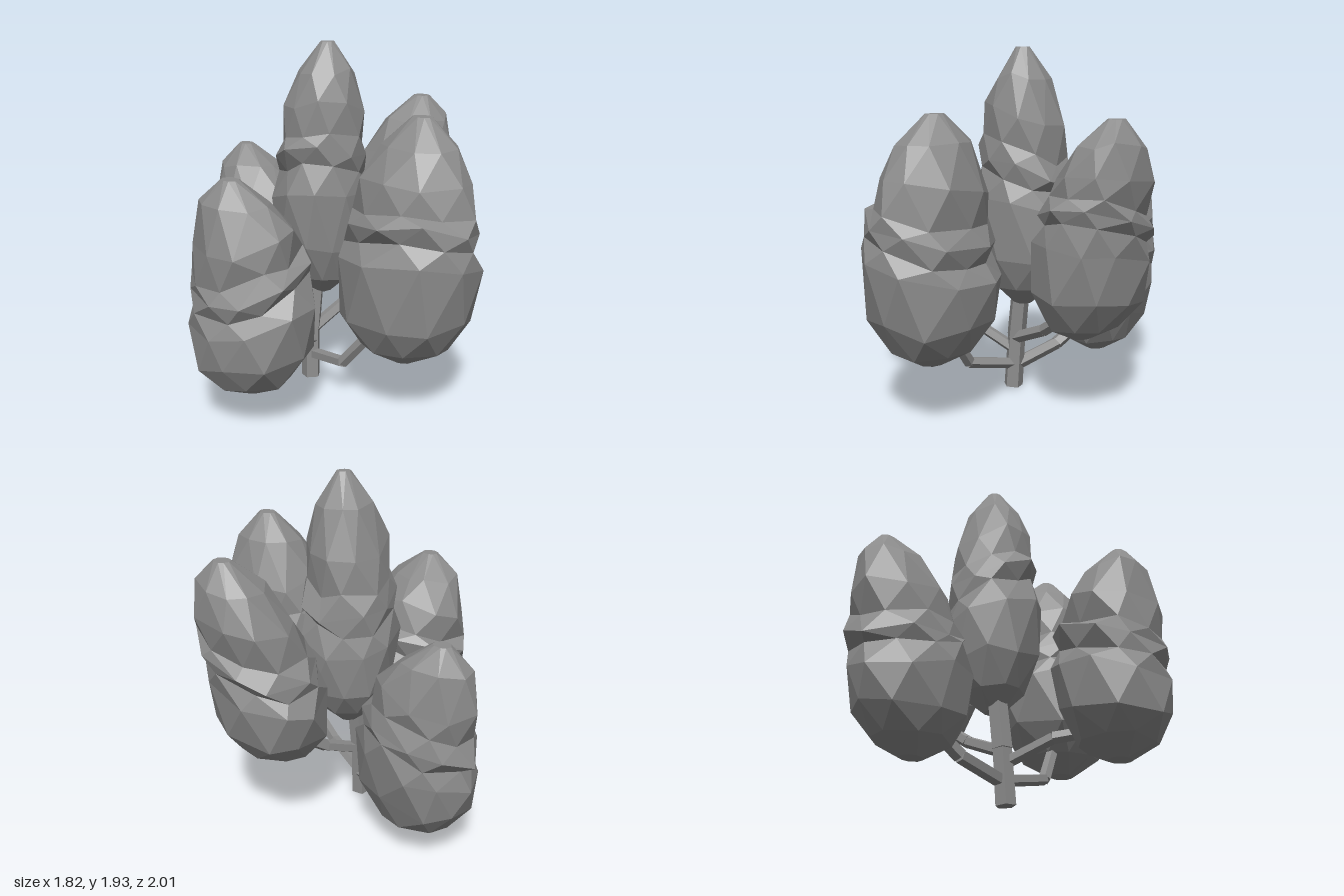
import * as THREE from 'three';

const material = new THREE.MeshStandardMaterial({ color: 0x8c8c8c, flatShading: true });
const SIDES = 9;

// Shared clump outline: [fraction of height, fraction of full width, fold depth]
const profile = [
  [0, 0.2, 0], [0.07, 0.66, 0], [0.2, 0.97, 0], [0.4, 1.05, 0],
  [0.49, 1.0, 0.14], [0.55, 1.01, 0], [0.62, 0.94, 0.13], [0.74, 0.84, 0], [0.89, 0.58, 0], [1, 0.15, 0],
];

// Small repeatable number generator, -1..1
function seeded(seed) {
  let s = seed;
  return () => {
    s = (s * 16807) % 2147483647;
    return (s / 2147483647) * 2 - 1;
  };
}

// Faceted clump lofted through irregular, slanted rings along a bent axis;
// taper narrows its upper part sideways, foldAngle is the side where the folds run highest
function foliage(name, { seed, axis, rx, rz, foldAngle, taper = 0 }) {
  const rand = seeded(seed * 7919 + 13);
  const spine = new THREE.CatmullRomCurve3(axis.map((p) => new THREE.Vector3(...p)));
  const rings = profile.length;
  const points = [];
  profile.forEach(([h, width, fold], i) => {
    const centre = spine.getPoint(h);
    const middle = Math.sin(h * Math.PI);
    const rough = Math.min(1, middle * 2);
    for (let j = 0; j < SIDES; j++) {
      const angle = ((j + (i % 2) * 0.5 + rand() * 0.16) / SIDES) * Math.PI * 2;
      const pleat = fold * (0.5 + 0.5 * Math.sin(angle * 2 + seed));
      const k = (width - pleat) * (1 + rand() * 0.045 * rough);
      const slant = 0.09 * middle * middle * Math.cos(angle - foldAngle);
      points.push(new THREE.Vector3(
        centre.x + rx * (1 - taper * h) * k * Math.cos(angle),
        centre.y + slant + rand() * 0.03 * rough,
        centre.z + rz * k * Math.sin(angle)));
    }
  });

  // staggered triangles between rings
  const index = [];
  for (let i = 0; i < rings - 1; i++) {
    for (let j = 0; j < SIDES; j++) {
      const p = i * SIDES + j;
      const q = i * SIDES + ((j + 1) % SIDES);
      const u = p + SIDES;
      const v = q + SIDES;
      if (i % 2) index.push(p, u, v, p, v, q);
      else index.push(p, u, q, q, u, v);
    }
  }
  // end caps
  const last = (rings - 1) * SIDES;
  for (let j = 1; j < SIDES - 1; j++) {
    index.push(0, j, j + 1, last, last + j + 1, last + j);
  }
  const indexed = new THREE.BufferGeometry().setFromPoints(points);
  indexed.setIndex(index);
  const geometry = indexed.toNonIndexed();
  geometry.computeVertexNormals();
  const mesh = new THREE.Mesh(geometry, material);
  mesh.name = name;
  return mesh;
}

// Straight, slightly tapered stick between two points
function stick(from, to, radius) {
  const dir = to.clone().sub(from);
  const mesh = new THREE.Mesh(new THREE.CylinderGeometry(radius * 0.95, radius, dir.length(), 5), material);
  mesh.position.copy(from).addScaledVector(dir, 0.5);
  mesh.quaternion.setFromUnitVectors(new THREE.Vector3(0, 1, 0), dir.normalize());
  return mesh;
}

// Limb made of sticks joined along a path
function limb(name, radius, ...path) {
  const group = new THREE.Group();
  group.name = name;
  const pts = path.map((p) => new THREE.Vector3(...p));
  for (let i = 0; i < pts.length - 1; i++) {
    const part = stick(pts[i], pts[i + 1], radius);
    part.name = `${name}Section${i + 1}`;
    group.add(part);
  }
  return group;
}

export function createModel() {
  const model = new THREE.Group();
  model.name = 'clumpedTree';

  // five leaf clumps
  model.add(
    foliage('centreFoliage', { seed: 1, rx: 0.265, rz: 0.25, foldAngle: 2.4,
      axis: [[0.05, 0.52, -0.03], [0.055, 1.22, -0.04], [0.065, 1.93, -0.01]] }),
    foliage('frontFoliage', { seed: 2, rx: 0.325, rz: 0.365, foldAngle: 2.6, taper: 0.12,
      axis: [[0.0, 0.31, 0.61], [0.025, 0.95, 0.62], [0.075, 1.6, 0.63]] }),
    foliage('leftFoliage', { seed: 3, rx: 0.28, rz: 0.33, foldAngle: 1.6,
      axis: [[0.52, 0.43, 0.03], [0.605, 1.0, 0.03], [0.77, 1.58, 0.09]] }),
    foliage('rightFoliage', { seed: 4, rx: 0.305, rz: 0.335, foldAngle: 0.4, taper: 0.08,
      axis: [[-0.62, 0.18, 0.1], [-0.605, 0.75, 0.095], [-0.7, 1.32, 0.065]] }),
    foliage('backFoliage', { seed: 5, rx: 0.27, rz: 0.33, foldAngle: 1.2,
      axis: [[0.12, 0.13, -0.62], [0.14, 0.69, -0.66], [0.18, 1.25, -0.82]] }),
  );

  // trunk and the four bent branches
  model.add(
    limb('trunk', 0.056, [-0.035, 0, -0.04], [-0.02, 0.3, -0.05], [0.02, 0.65, -0.05]),
    limb('frontBranch', 0.034, [-0.03, 0.14, -0.02], [-0.09, 0.2, 0.26], [-0.05, 0.4, 0.42]),
    limb('backBranch', 0.04, [-0.02, 0.13, -0.06], [0.04, 0.2, -0.34], [0.1, 0.32, -0.5]),
    limb('leftBranch', 0.036, [-0.02, 0.29, -0.04], [0.22, 0.39, -0.02], [0.45, 0.54, 0.02]),
    limb('rightBranch', 0.034, [-0.03, 0.23, -0.03], [-0.3, 0.325, 0], [-0.48, 0.34, 0.05]),
  );
  return model;
}
